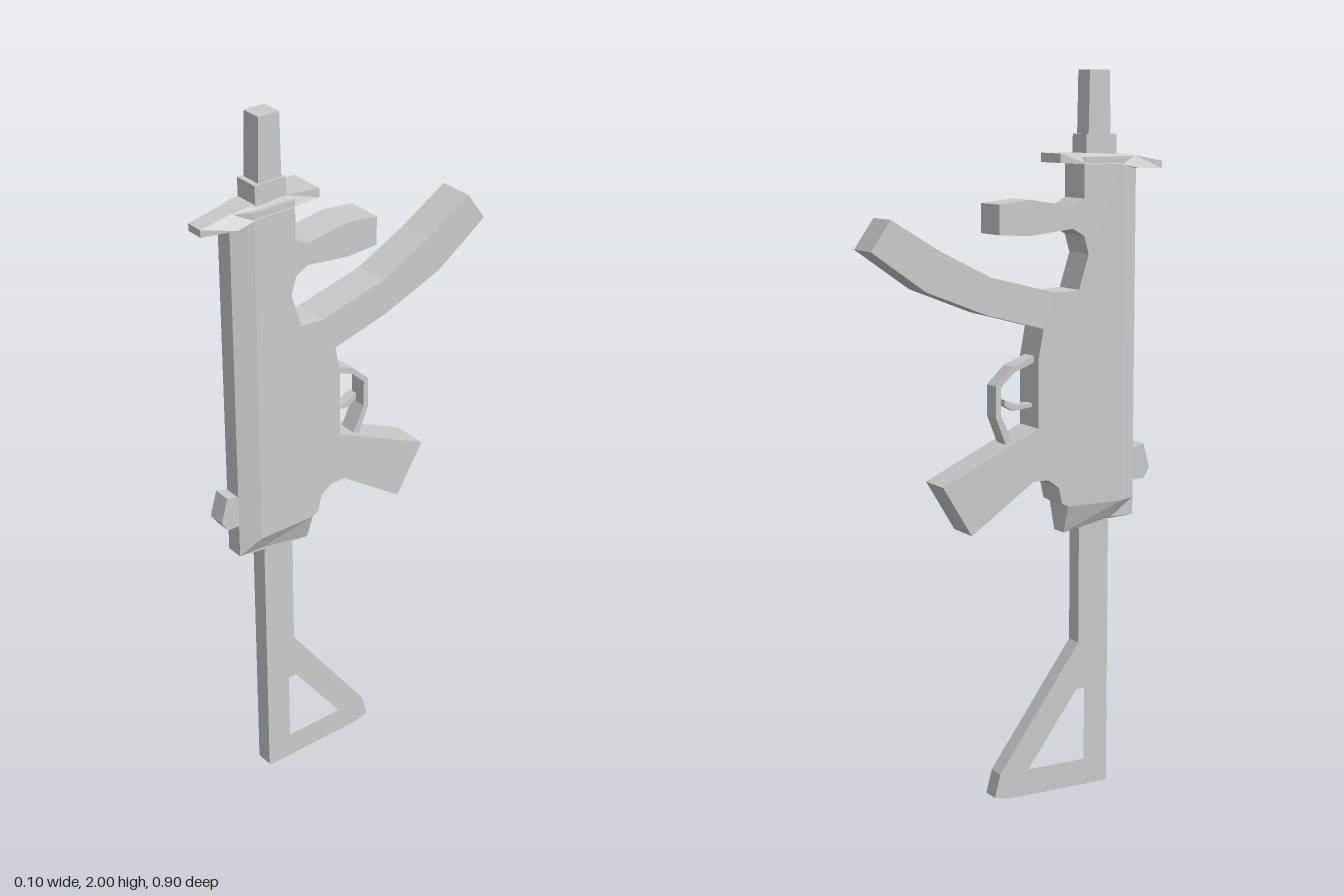
import * as THREE from 'three';

const material = new THREE.MeshStandardMaterial({ color: 0xcccccc, flatShading: true });

function addMesh(group, name, geometry) {
  const mesh = new THREE.Mesh(geometry, material);
  mesh.name = name;
  group.add(mesh);
}

// Side outline given as [z, y] points, extruded symmetrically across x
function sideProfile(points, halfWidth, hole) {
  const toVectors = (list) => list.map(([z, y]) => new THREE.Vector2(-z, y));
  const shape = new THREE.Shape(toVectors(points));
  if (hole) shape.holes.push(new THREE.Path(toVectors(hole)));
  const geometry = new THREE.ExtrudeGeometry(shape, { depth: halfWidth * 2, bevelEnabled: false });
  return geometry.translate(0, 0, -halfWidth).rotateY(Math.PI / 2);
}

// Flat-faced loft through rings of [x, y, z], counter-clockwise around the travel direction
function loft(rings) {
  const positions = [];
  const tri = (a, b, c) => positions.push(...a, ...b, ...c);
  const n = rings[0].length;
  for (let r = 0; r < rings.length - 1; r++) {
    for (let i = 0; i < n; i++) {
      const j = (i + 1) % n;
      const a = rings[r], b = rings[r + 1];
      tri(a[i], a[j], b[j]);
      tri(a[i], b[j], b[i]);
    }
  }
  const first = rings[0], last = rings[rings.length - 1];
  for (let i = 1; i < n - 1; i++) {
    tri(first[0], first[i + 1], first[i]);
    tri(last[0], last[i], last[i + 1]);
  }
  const geometry = new THREE.BufferGeometry();
  geometry.setAttribute('position', new THREE.Float32BufferAttribute(positions, 3));
  geometry.computeVertexNormals();
  return geometry;
}

function box(width, y0, y1, z0, z1) {
  return new THREE.BoxGeometry(width, y1 - y0, z1 - z0)
    .translate(0, (y0 + y1) / 2, (z0 + z1) / 2);
}

export function createModel() {
  const group = new THREE.Group();
  group.name = 'model';
  const W = 0.051, F = 0.025;

  // Main body with fore grip, curved magazine and rear grip in one outline
  addMesh(group, 'body', sideProfile([
    [0.31, 0.82], [0.31, 1.77], [0.185, 1.77], [0.185, 1.66], [0.15, 1.64],
    [0.02, 1.66], [-0.075, 1.65], [-0.075, 1.57], [0.02, 1.565], [0.15, 1.58],
    [0.185, 1.56], [0.2, 1.51], [0.17, 1.415], [0.1, 1.41],
    [-0.1, 1.46], [-0.25, 1.535], [-0.39, 1.62], [-0.447, 1.54], [-0.29, 1.43], [-0.11, 1.36],
    [0.06, 1.315], [0.045, 1.235], [0.045, 1.045],
    [-0.245, 0.91], [-0.16, 0.77], [0.03, 0.9], [0.075, 0.9], [0.11, 0.875],
    [0.12, 0.83], [0.14, 0.82],
  ], W));

  // Chamfered strip along the front of the body
  const strip = (y) => [[W, y, 0.31], [-W, y, 0.31], [-F, y, 0.365], [F, y, 0.365]];
  addMesh(group, 'bodyFront', loft([strip(0.82), strip(1.77)]));

  // Tapered cap under the body
  addMesh(group, 'bodyCap', loft([
    [[F, 0.742, 0.14], [-F, 0.742, 0.14], [-F, 0.77, 0.29], [-F, 0.772, 0.365],
      [F, 0.772, 0.365], [F, 0.77, 0.29]],
    [[W, 0.82, 0.14], [-W, 0.82, 0.14], [-W, 0.82, 0.31], [-F, 0.82, 0.365],
      [F, 0.82, 0.365], [W, 0.82, 0.31]],
  ]));

  // Sight plate: z, bottom y, top y, bottom half width, top half width
  addMesh(group, 'sightPlate', loft([
    [0.11, 1.755, 1.78, 0.052, 0.052],
    [0.2, 1.75, 1.78, 0.052, 0.037],
    [0.295, 1.75, 1.78, 0.052, 0.033],
    [0.36, 1.737, 1.772, 0.052, 0.027],
    [0.45, 1.735, 1.755, 0.025, 0.025],
  ].map(([z, y0, y1, w0, w1]) => [[-w0, y0, z], [w0, y0, z], [w1, y1, z], [-w1, y1, z]])));

  // Barrel and its stepped collar
  addMesh(group, 'collar', box(0.072, 1.77, 1.83, 0.2, 0.295));
  addMesh(group, 'barrel', loft([[1.82, 0.21, 0.28], [2, 0.213, 0.275]].map(([y, z0, z1]) =>
    [[0.03, y, z0], [-0.03, y, z0], [-0.03, y, z1], [0.03, y, z1]])));

  // Rear sight block
  addMesh(group, 'rearSight', sideProfile([
    [0.35, 0.87], [0.4, 0.87], [0.42, 0.9], [0.4, 0.97], [0.35, 0.955],
  ], F));

  // Trigger guard and trigger
  addMesh(group, 'triggerGuard', sideProfile([
    [0.06, 1.24], [0.045, 1.24], [-0.02, 1.215], [-0.072, 1.165], [-0.072, 1.08], [-0.04, 1.0],
    [-0.015, 1.0], [-0.057, 1.085], [-0.057, 1.16], [-0.014, 1.2], [0.045, 1.222], [0.06, 1.222],
  ], F));
  addMesh(group, 'trigger', sideProfile([
    [0.06, 1.11], [0.045, 1.11], [0.0, 1.108], [-0.04, 1.125],
    [-0.04, 1.108], [-0.01, 1.092], [0.045, 1.1], [0.06, 1.1],
  ], 0.014));

  // Skeleton stock with a cut-out
  addMesh(group, 'stock', sideProfile([
    [0.285, 0.005], [0.285, 0.82], [0.19, 0.82], [0.19, 0.42],
    [-0.06, 0.075], [-0.077, 0.01], [-0.03, 0], [0.28, 0],
  ], F, [[0.21, 0.285], [0.185, 0.285], [0.03, 0.075], [0.21, 0.075]]));

  return group;
}
